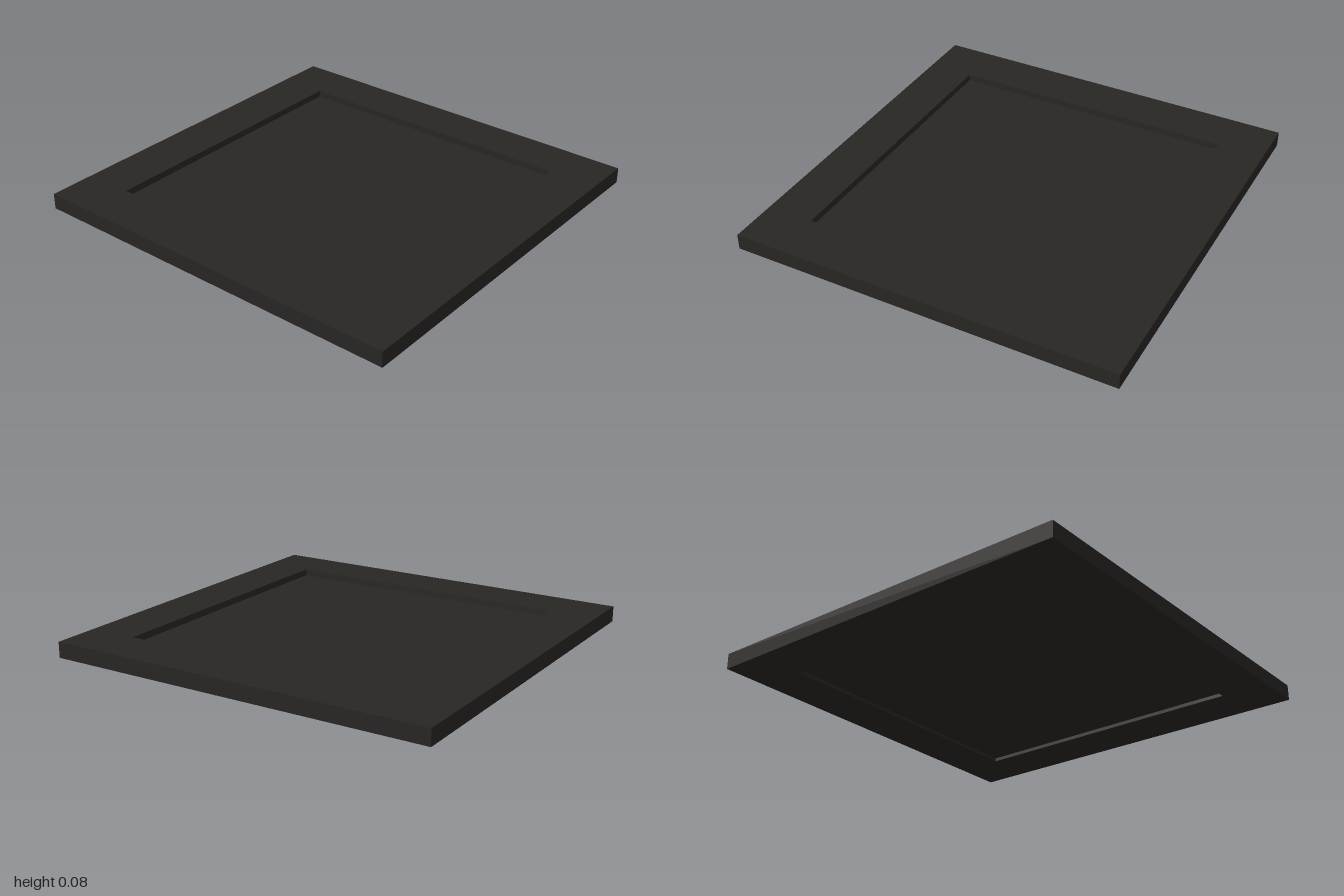
import * as THREE from 'three';

const WIDTH = 2, DEPTH = 1.95, HEIGHT = 0.08;
const OPEN_W = 1.5, OPEN_D = 1.47;
const PANEL_BOTTOM = 0.018, PANEL_TOP = 0.046;

// Adds a centred rectangle outline to a shape or path
function rectangle(path, w, d) {
  path.moveTo(-w / 2, -d / 2);
  path.lineTo(w / 2, -d / 2);
  path.lineTo(w / 2, d / 2);
  path.lineTo(-w / 2, d / 2);
  path.closePath();
  return path;
}

export function createModel() {
  const model = new THREE.Group();
  model.name = 'framedPanel';
  const material = new THREE.MeshStandardMaterial({ color: 0x282623 });

  // Flat border with a rectangular opening
  const outline = rectangle(new THREE.Shape(), WIDTH, DEPTH);
  outline.holes.push(rectangle(new THREE.Path(), OPEN_W, OPEN_D));
  const frameGeometry = new THREE.ExtrudeGeometry(outline, { depth: HEIGHT, bevelEnabled: false });
  frameGeometry.rotateX(-Math.PI / 2);
  const frame = new THREE.Mesh(frameGeometry, material);
  frame.name = 'frame';
  model.add(frame);

  // Thin panel, recessed from both faces of the frame
  const panel = new THREE.Mesh(
    new THREE.BoxGeometry(OPEN_W, PANEL_TOP - PANEL_BOTTOM, OPEN_D), material);
  panel.position.y = (PANEL_TOP + PANEL_BOTTOM) / 2;
  panel.name = 'recessedPanel';
  model.add(panel);

  return model;
}
